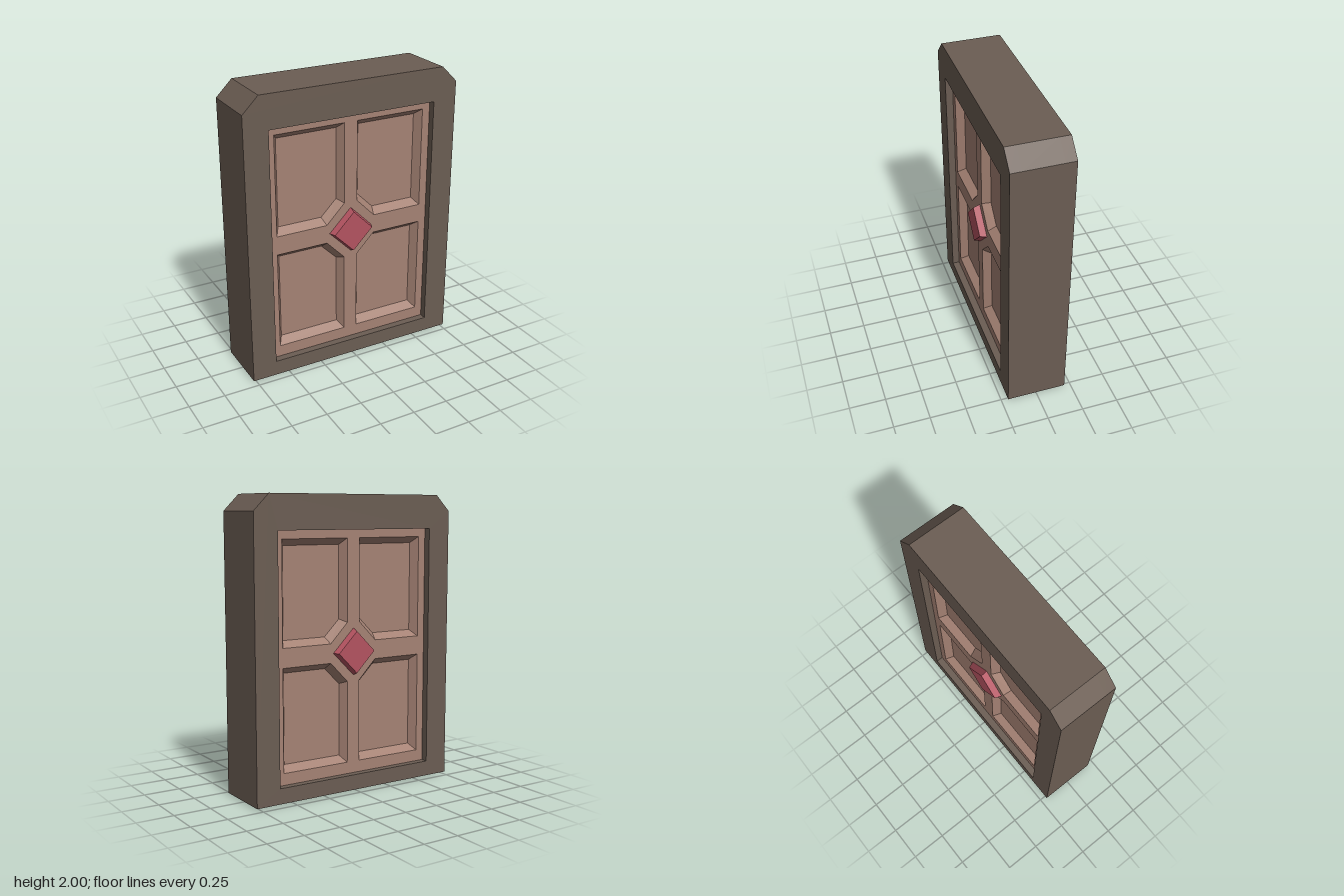
import * as THREE from 'three';

const mat = (name, color) => {
  const m = new THREE.MeshStandardMaterial({ color });
  m.name = name;
  return m;
};
const toShape = (pts) => new THREE.Shape(pts.map(([x, y]) => new THREE.Vector2(x, y)));

const MID = 0.955;      // height of the door's centre line
const FACE_Z = 0.155;   // front of the door leaf
const FLOOR_Z = 0.1;    // bottom of the sunken panels
const SLOT = { x: 0.64, z: 0.13, y: 0.1 };

export function createModel() {
  const stone = mat('stone grey', 0x6b5d53);
  const wood = mat('dusty brown', 0xa58274);
  const red = mat('gem red', 0xb35360);
  const rust = mat('rust tip', 0x6f4c42);

  const model = new THREE.Group();
  model.name = 'door';
  const add = (parent, name, geometry, material) => {
    const mesh = new THREE.Mesh(geometry, material);
    mesh.name = name;
    parent.add(mesh);
    return mesh;
  };

  // Frame: three layers, the middle one notched to leave a slot underneath
  const frame = new THREE.Group();
  frame.name = 'frame';
  model.add(frame);
  const frameLayer = (name, z0, z1, notched) => {
    const notch = notched
      ? [[-SLOT.x, 0.01], [-SLOT.x, SLOT.y], [SLOT.x, SLOT.y], [SLOT.x, 0.01]] : [];
    const shape = toShape([[-0.77, 0.01], ...notch, [0.77, 0.01], [0.77, 1.89],
      [0.66, 2], [-0.66, 2], [-0.77, 1.89]]);
    shape.holes.push(toShape([[-0.6, 0.115], [-0.6, 1.77], [0.6, 1.77], [0.6, 0.115]]));
    const g = new THREE.ExtrudeGeometry(shape, { depth: z1 - z0, bevelEnabled: false });
    add(frame, name, g.translate(0, 0, z0), stone);
  };
  frameLayer('frameBack', -0.205, -SLOT.z, false);
  frameLayer('frameCore', -SLOT.z, SLOT.z, true);
  frameLayer('frameFront', SLOT.z, 0.205, false);

  // Sunken panel outlines, clipped at the corner next to the gem
  const rim = [[0.18, 0.065], [0.545, 0.065], [0.545, 0.76], [0.048, 0.76], [0.048, 0.2]];
  const floor = [[0.195, 0.107], [0.51, 0.107], [0.51, 0.717], [0.081, 0.717], [0.081, 0.22]];
  const mirrored = (pts, sx, sy) => {
    const out = pts.map(([x, y]) => [x * sx, MID + y * sy]);
    return sx * sy < 0 ? out.reverse() : out;
  };
  const slopes = (outer, inner) => {
    const pos = [];
    outer.forEach((a, k) => {
      const n = (k + 1) % outer.length;
      const A = [...a, FACE_Z], B = [...outer[n], FACE_Z];
      const C = [...inner[n], FLOOR_Z], D = [...inner[k], FLOOR_Z];
      pos.push(...A, ...B, ...C, ...A, ...C, ...D);
    });
    const g = new THREE.BufferGeometry();
    g.setAttribute('position', new THREE.Float32BufferAttribute(pos, 3));
    g.computeVertexNormals();
    return g;
  };

  // Door leaf, the same on both sides
  for (const side of ['front', 'back']) {
    const leaf = new THREE.Group();
    leaf.name = side + 'Leaf';
    if (side === 'back') leaf.rotation.y = Math.PI;
    model.add(leaf);

    const face = toShape([[-0.6, 0.115], [0.6, 0.115], [0.6, 1.77], [-0.6, 1.77]]);
    for (const sx of [-1, 1]) for (const sy of [-1, 1]) {
      const outer = mirrored(rim, sx, sy), inner = mirrored(floor, sx, sy);
      face.holes.push(toShape(outer));
      add(leaf, 'panelBevel', slopes(outer, inner), wood);
      add(leaf, 'panelFloor',
        new THREE.ShapeGeometry(toShape(inner)).translate(0, 0, FLOOR_Z), wood);
    }
    add(leaf, 'leafFace', new THREE.ShapeGeometry(face).translate(0, 0, FACE_Z), wood);

    // Diamond gem in the middle
    const gem = new THREE.CylinderGeometry(0.142, 0.161, 0.05, 4).toNonIndexed();
    gem.computeVertexNormals();
    add(leaf, 'gem', gem.rotateX(Math.PI / 2).translate(0, MID, 0.175), red);
  }

  // Teeth in the bottom slot, with flat rusty tips
  for (let i = 0; i < 4; i++) {
    const x = -0.477 + i * 0.318;
    const tooth = new THREE.CylinderGeometry(0.13 * Math.SQRT2 * 0.85, 0.047 * Math.SQRT2, 0.09, 4)
      .toNonIndexed();
    tooth.computeVertexNormals();
    add(model, 'tooth', tooth.rotateY(Math.PI / 4).translate(x, 0.055, 0), stone);
    add(model, 'toothTip',
      new THREE.BoxGeometry(0.094, 0.01, 0.09).translate(x, 0.005, 0), rust);
  }
  return model;
}
